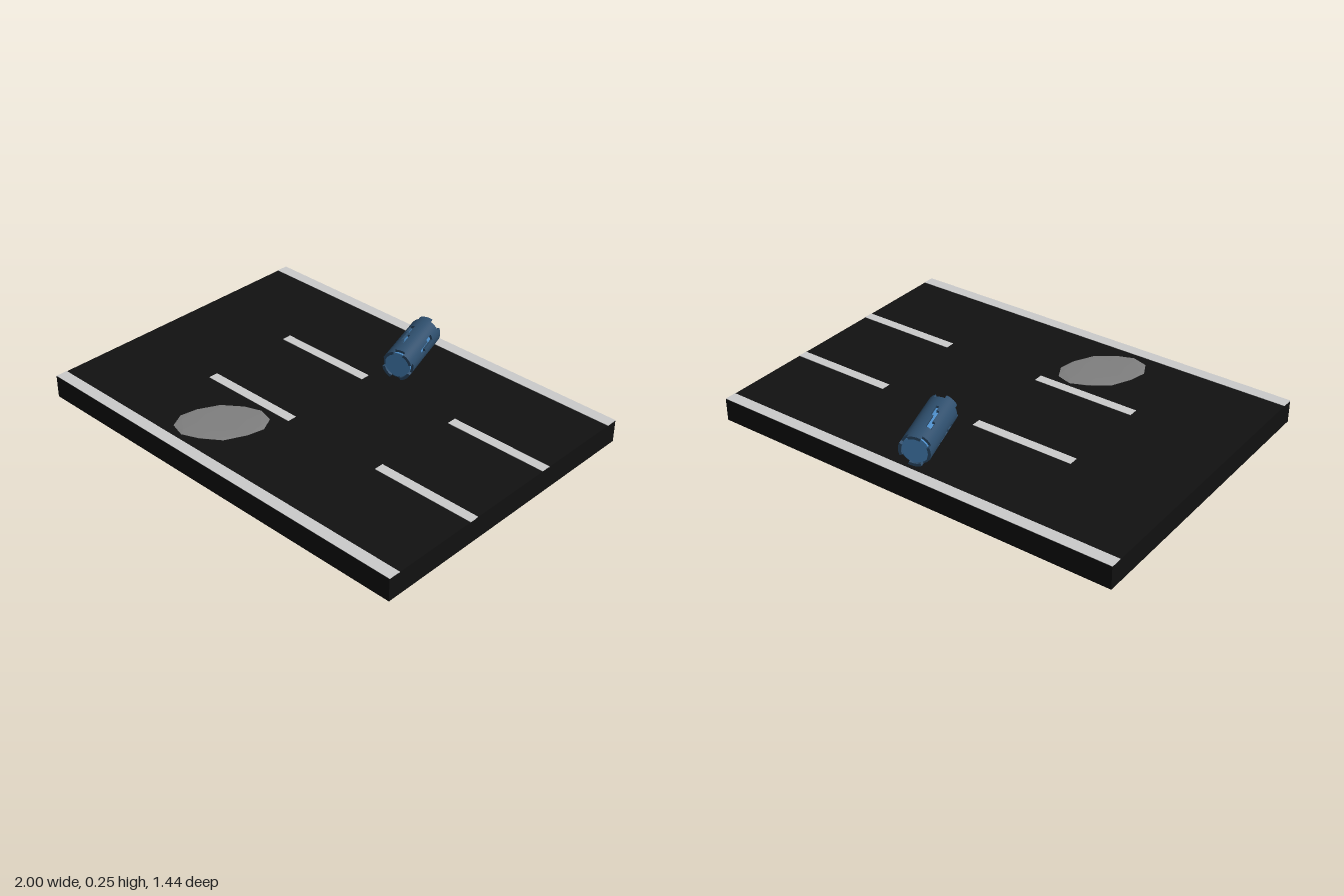
import * as THREE from 'three';
import { mergeGeometries } from 'three/addons/utils/BufferGeometryUtils.js';

const material = (color, flatShading = false) => new THREE.MeshStandardMaterial({ color, flatShading });
const ROAD_TOP = 0.107;

function addMesh(parent, name, geometry, mat, x = 0, y = 0, z = 0) {
  const mesh = new THREE.Mesh(geometry, mat);
  mesh.name = name;
  mesh.position.set(x, y, z);
  parent.add(mesh);
  return mesh;
}

// One curved plate of the casing between two angles and two axial stations
function casingPlate(startDeg, endDeg, z0, z1, outer, inner) {
  const a = THREE.MathUtils.degToRad(startDeg), b = THREE.MathUtils.degToRad(endDeg);
  const shape = new THREE.Shape();
  shape.absarc(0, 0, outer, a, b, false);
  shape.absarc(0, 0, inner, b, a, true);
  const steps = Math.max(2, Math.round((endDeg - startDeg) / 10));
  const plate = new THREE.ExtrudeGeometry(shape, { depth: z1 - z0, bevelEnabled: false, curveSegments: steps });
  return plate.translate(0, 0, z0);
}

function createCanister() {
  const canister = new THREE.Group();
  canister.name = 'canister';

  // Bright core seen through the openings and at both ends
  const core = new THREE.CylinderGeometry(0.06, 0.06, 0.32, 40).rotateX(Math.PI / 2);
  addMesh(canister, 'canisterCore', core, material(0x4a8ac4));

  // Each band: back, front, then its solid cell runs (10 degrees each), repeated every quarter turn
  const bands = [
    [-0.172, -0.15, [[0, 2], [6, 9]]],
    [-0.15, -0.08, [[0, 9]]],
    [-0.08, -0.03, [[0, 1], [3, 9]]],
    [-0.03, 0.01, [[0, 1], [2, 9]]],
    [0.01, 0.05, [[2, 9]]],
    [0.05, 0.08, [[1, 9]]],
    [0.08, 0.15, [[0, 9]]],
    [0.15, 0.172, [[1, 6]]],
  ];
  const plates = [];
  for (const [z0, z1, runs] of bands)
    for (let quarter = 0; quarter < 4; quarter++)
      for (const [from, to] of runs) {
        const base = 5 + quarter * 90;
        plates.push(casingPlate(base + from * 10, base + to * 10, z0, z1, 0.071, 0.058));
      }
  addMesh(canister, 'canisterCasing', mergeGeometries(plates), material(0x2d4d6b));

  canister.position.set(0.057, ROAD_TOP + 0.071, -0.475);
  canister.rotation.y = THREE.MathUtils.degToRad(18.7);
  return canister;
}

export function createModel() {
  const model = new THREE.Group();
  model.name = 'roadSection';

  // Road slab
  addMesh(model, 'roadSlab', new THREE.BoxGeometry(2, ROAD_TOP, 1.44), material(0x111111), 0, ROAD_TOP / 2, 0);

  // Edge lines and dashed lane lines
  const paint = material(0xcccccc);
  for (const side of [-1, 1]) {
    addMesh(model, 'edgeLine', new THREE.BoxGeometry(2, 0.004, 0.056), paint, 0, ROAD_TOP, side * 0.691);
    for (const x of [-0.25, 0.75])
      addMesh(model, 'laneDash', new THREE.BoxGeometry(0.5, 0.004, 0.046), paint, x, ROAD_TOP, side * 0.23);
  }

  // Flat faceted patch on the road
  const patch = addMesh(model, 'roadPatch', new THREE.IcosahedronGeometry(1, 1), material(0x808080, true), -0.197, ROAD_TOP, 0.455);
  patch.scale.set(0.205, 0.005, 0.135);
  patch.rotation.y = THREE.MathUtils.degToRad(50);

  model.add(createCanister());
  return model;
}
